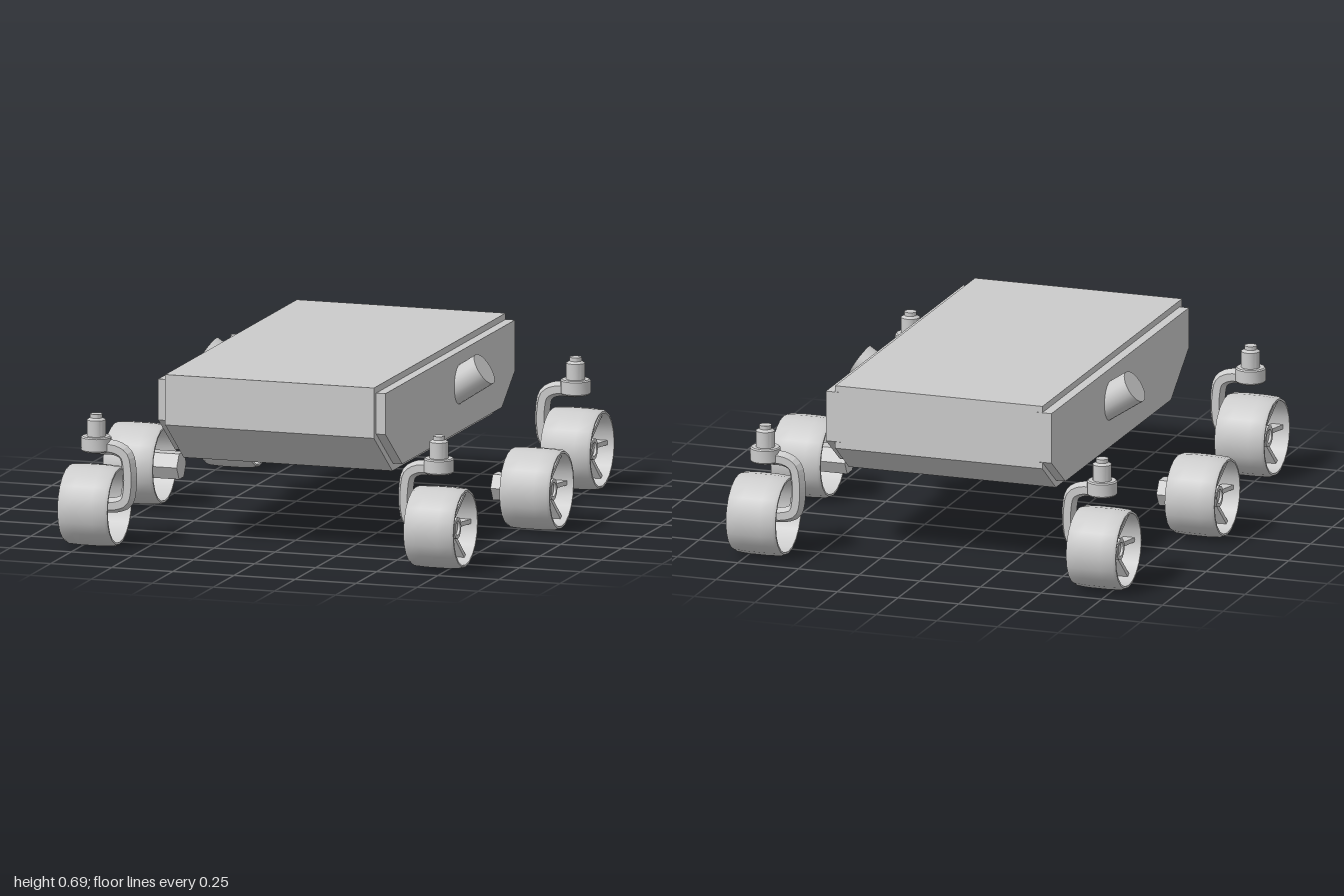
import * as THREE from 'three';
import { toCreasedNormals } from 'three/addons/utils/BufferGeometryUtils.js';

const grey = new THREE.MeshStandardMaterial({ color: 0xcccccc });
const flat = new THREE.MeshStandardMaterial({ color: 0xcccccc, flatShading: true });

function add(parent, name, geometry, material = grey) {
  const mesh = new THREE.Mesh(geometry, material);
  mesh.name = name;
  parent.add(mesh);
  return mesh;
}

const vec2 = ([x, y]) => new THREE.Vector2(x, y);

// Turned part around the y axis, with crisp edges
function turned(profile, sides) {
  return toCreasedNormals(new THREE.LatheGeometry(profile.map(vec2), sides), 0.6);
}

// Side outline given as [z, y], extruded across x
function hullSlab(outline, width) {
  const g = new THREE.ExtrudeGeometry(new THREE.Shape(outline.map(vec2)), { depth: width, bevelEnabled: false });
  return g.translate(0, 0, -width / 2).rotateY(-Math.PI / 2);
}

// Hollow spoked wheel; the outer face points to +x
function makeWheel() {
  const wheel = new THREE.Group();
  wheel.name = 'wheel';
  const tyre = turned([
    [0.143, -0.102], [0.151, -0.102], [0.157, -0.09], [0.16, -0.04], [0.16, 0.04],
    [0.157, 0.09], [0.151, 0.102], [0.143, 0.102], [0.146, 0], [0.143, -0.102],
  ], 20);
  add(wheel, 'tyre', tyre.rotateZ(-Math.PI / 2));
  const hub = turned([
    [0, 0], [0.043, 0], [0.043, 0.07], [0.028, 0.07], [0.028, 0.06], [0, 0.06],
  ], 12);
  add(wheel, 'hub', hub.rotateZ(-Math.PI / 2));
  for (let i = 0; i < 6; i++) {
    // Blade-like spoke, leaning outward towards the rim
    const g = new THREE.BoxGeometry(0.045, 0.018, 0.112);
    const p = g.attributes.position;
    for (let k = 0; k < p.count; k++) p.setX(k, p.getX(k) + 0.04 + p.getZ(k) * 0.25);
    g.translate(0, 0, 0.091).rotateX((i * Math.PI) / 3);
    add(wheel, 'spoke', g, flat);
  }
  return wheel;
}

// Steered corner wheel: wheel, curved fork and pivot
function makeCornerUnit() {
  const unit = new THREE.Group();
  unit.name = 'cornerWheelUnit';
  unit.add(makeWheel());
  const path = new THREE.CatmullRomCurve3([
    [-0.005, 0.23], [-0.09, 0.228], [-0.128, 0.205], [-0.141, 0.15],
    [-0.141, 0.07], [-0.128, 0.022], [-0.09, 0.005], [0.01, 0],
  ].map(([x, y]) => new THREE.Vector3(x, y, 0)));
  // Six-sided bar with its ridges facing in and out of the bend
  const bar = new THREE.Shape([
    [0, 0.03], [-0.027, 0.015], [-0.027, -0.015], [0, -0.03], [0.027, -0.015], [0.027, 0.015],
  ].map(vec2));
  add(unit, 'fork', new THREE.ExtrudeGeometry(bar, { steps: 28, extrudePath: path, bevelEnabled: false }), flat);
  const pivot = turned([
    [0, 0.213], [0.054, 0.213], [0.059, 0.219], [0.059, 0.268], [0.054, 0.273],
    [0.037, 0.273], [0.037, 0.337], [0.024, 0.345], [0.024, 0.36], [0, 0.36],
  ], 20);
  add(unit, 'steeringPivot', pivot.translate(-0.007, 0, 0));
  return unit;
}

// Fixed middle wheel with a six-sided drive motor
function makeMiddleUnit() {
  const unit = new THREE.Group();
  unit.name = 'middleWheelUnit';
  unit.add(makeWheel());
  const motor = new THREE.CylinderGeometry(0.058, 0.058, 0.19, 6);
  add(unit, 'driveMotor', motor.rotateZ(Math.PI / 2).translate(-0.075, 0, 0), flat);
  return unit;
}

export function createModel() {
  const model = new THREE.Group();
  model.name = 'rover';

  // Hull and its side panels
  add(model, 'hull', hullSlab([
    [0.593, 0.318], [0.817, 0.488], [0.817, 0.687],
    [-0.782, 0.687], [-0.782, 0.435], [-0.628, 0.318],
  ], 0.854), flat);
  for (const s of [-1, 1]) {
    const panel = hullSlab([
      [0.585, 0.346], [0.789, 0.5], [0.789, 0.662],
      [-0.784, 0.662], [-0.784, 0.462], [-0.625, 0.346],
    ], 0.06);
    add(model, 'sidePanel', panel, flat).position.x = s * 0.435;
  }

  // Wheels and tilted side tubes, repeated on both sides
  for (const s of [-1, 1]) {
    const turn = s > 0 ? 0 : Math.PI;
    const place = (unit, x, y, z) => {
      unit.position.set(s * x, y, z);
      unit.rotation.y = turn;
      model.add(unit);
    };
    place(makeCornerUnit(), 0.708, 0.16, 0.84);
    place(makeCornerUnit(), 0.701, 0.16, -0.84);
    place(makeMiddleUnit(), 0.812, 0.16, -0.018);

    const tube = new THREE.CylinderGeometry(0.066, 0.066, 0.24, 24);
    tube.translate(0, -0.12, 0).rotateZ(-0.99);
    place(add(model, 'sideTube', tube), 0.566, 0.599, -0.112);
  }
  return model;
}
